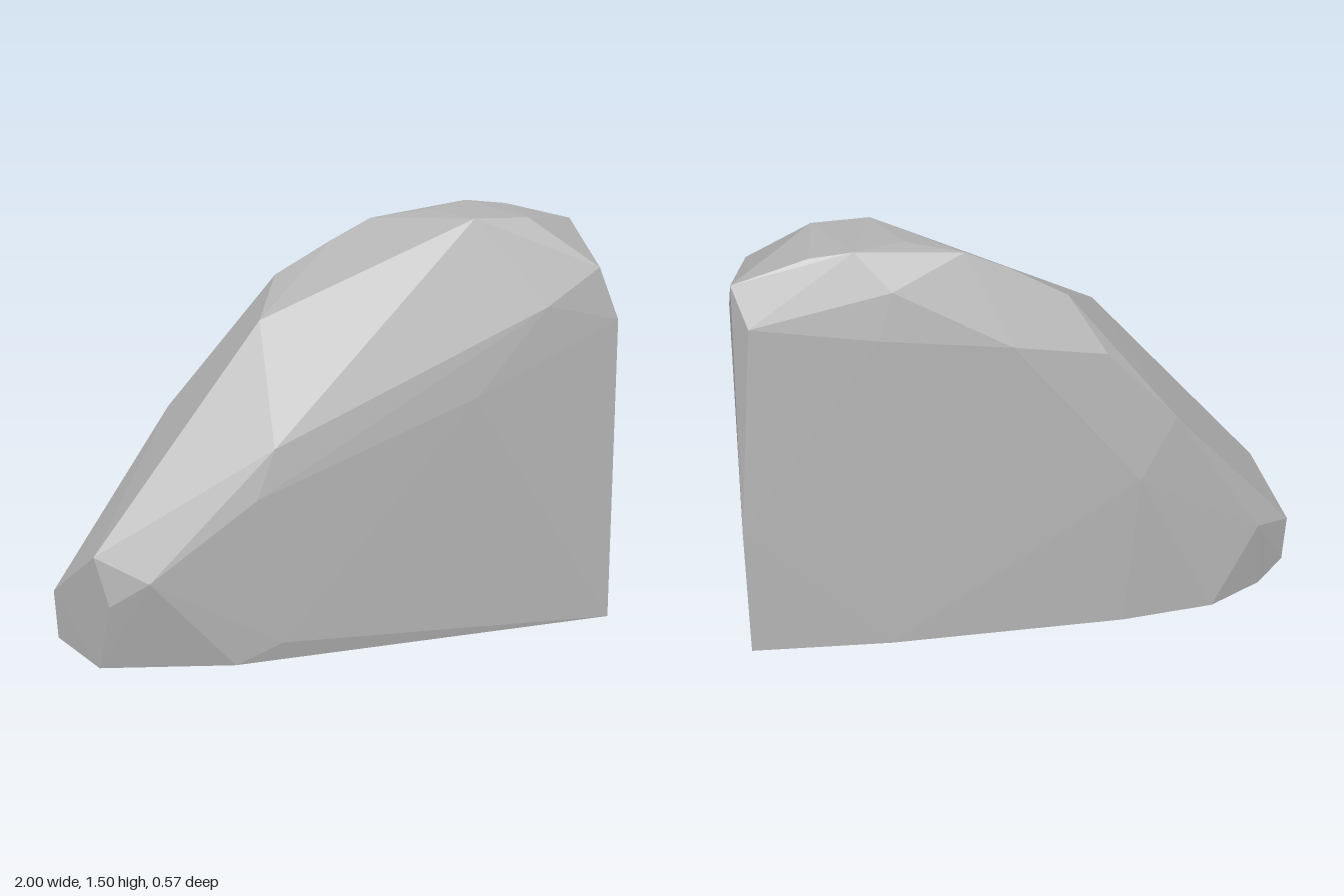
import * as THREE from 'three';
import { ConvexGeometry } from 'three/addons/geometries/ConvexGeometry.js';

// Corner points of the faceted boulder, grouped by region: [x, y, z]
const base = [
  [1, 0, 0.27], [1, 0, -0.275], [0.5, 0, -0.288], [-0.35, 0, -0.25], [-0.69, 0, -0.2],
  [-0.89, 0, -0.08], [-0.88, 0, 0.15], [-0.42, 0, 0.27],
];
const tip = [
  [-1, 0.24, -0.02], [-0.99, 0.06, -0.02], [-0.89, 0.42, 0.16], [-0.85, 0.25, 0.21], [-0.86, 0.3, -0.145],
];
const frontFace = [
  [-0.25, 0.07, 0.285], [-0.72, 0.34, 0.265], [-0.34, 0.61, 0.285], [-0.27, 0.78, 0.262],
  [0.46, 0.9, 0.279], [0.73, 1.2, 0.255], [0.93, 1.32, 0.23], [1, 1.13, 0.25],
];
const crest = [
  [-0.26, 1.18, 0.05], [0.5, 1.5, 0.12], [0.7, 1.49, 0.12], [0.98, 1.41, -0.155],
  [-0.15, 1.29, -0.13], [0.05, 1.4, -0.12], [0.2, 1.47, -0.125], [0.4, 1.5, -0.08],
  [0.57, 1.505, -0.15], [0.72, 1.485, -0.14],
];
const backFace = [
  [-0.53, 0.82, -0.2], [-0.28, 1.09, -0.2], [-0.4, 0.6, -0.25], [0.05, 1.16, -0.24],
  [0.45, 1.38, -0.215], [0.5, 1.22, -0.252], [0.93, 1.28, -0.23], [1, 0.5, -0.27],
];

export function createModel() {
  const stone = new THREE.MeshStandardMaterial({ color: 0xb2b2b2 });
  stone.name = 'grey stone';

  // The boulder is the convex skin around its corners, one flat normal per facet
  const corners = [base, tip, frontFace, crest, backFace].flat();
  const boulder = new THREE.Mesh(
    new ConvexGeometry(corners.map((p) => new THREE.Vector3(...p))),
    stone,
  );
  boulder.name = 'boulder';

  const group = new THREE.Group();
  group.name = 'rock';
  group.add(boulder);
  return group;
}
